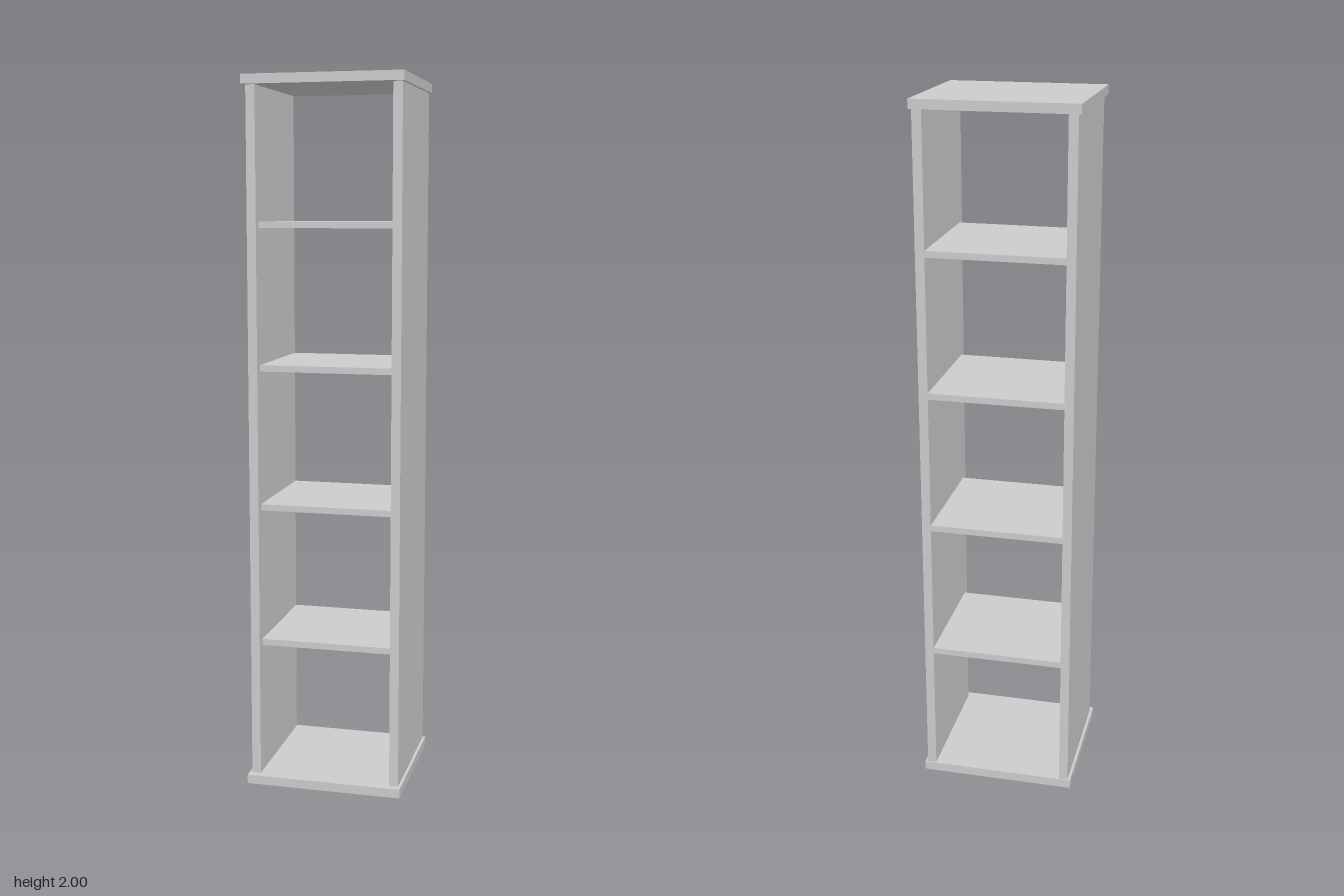
import * as THREE from 'three';

export function createModel() {
  const group = new THREE.Group();
  const material = new THREE.MeshStandardMaterial({ color: 0xcccccc, flatShading: true });

  // Adds a board spanning the given ranges on each axis.
  function board(name, [x0, x1], [y0, y1], [z0, z1]) {
    const mesh = new THREE.Mesh(new THREE.BoxGeometry(x1 - x0, y1 - y0, z1 - z0), material);
    mesh.position.set((x0 + x1) / 2, (y0 + y1) / 2, (z0 + z1) / 2);
    mesh.name = name;
    group.add(mesh);
  }

  const thickness = 0.026;
  const outer = 0.216;
  const inner = 0.19;
  const back = -0.202;

  // Overhanging end boards
  board('basePanel', [-0.224, 0.224], [0, thickness], [-0.206, 0.206]);
  board('topPanel', [-0.224, 0.224], [2 - thickness, 2], [-0.206, 0.206]);

  // Upright sides, set back from the front edge
  board('leftSide', [inner, outer], [thickness, 2 - thickness], [back, 0.185]);
  board('rightSide', [-outer, -inner], [thickness, 2 - thickness], [back, 0.185]);

  // Evenly spaced shelves, recessed slightly at the front
  for (let i = 0; i < 4; i++) {
    const y = 0.413 + i * 0.396;
    board(`shelf${i + 1}`, [-inner, inner], [y - 0.009, y + 0.009], [back, 0.158]);
  }

  return group;
}
